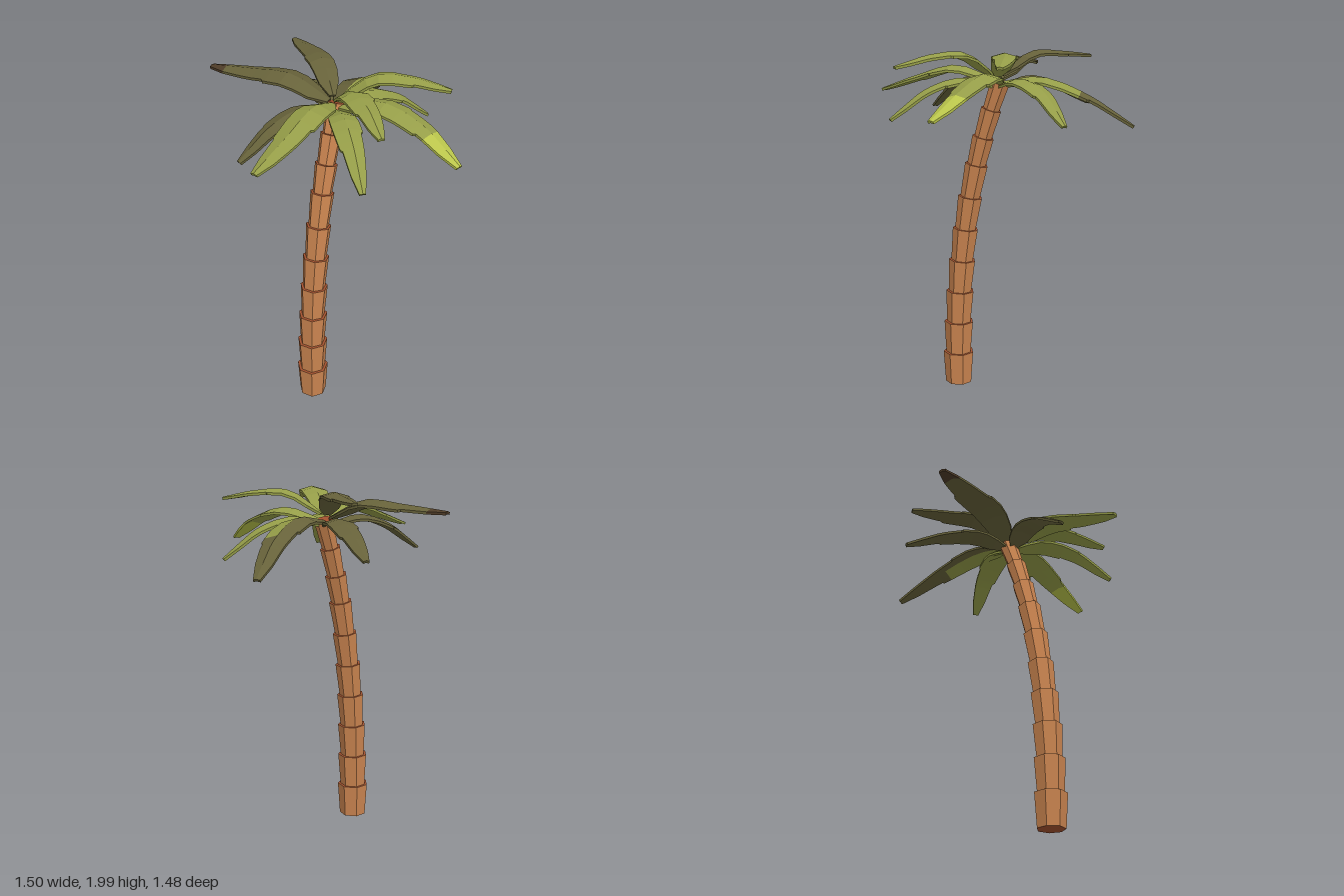
import * as THREE from 'three';

const UP = new THREE.Vector3(0, 1, 0);
const THICK = 0.014, FOLD = 0.28, STEPS = 8;

const mat = (name, color) => Object.assign(new THREE.MeshStandardMaterial({ color, flatShading: true }), { name });

// Half width of a blade: swells, tapers to a blunt tip, and steps in after a torn notch
function halfWidth(t, notch) {
  const swell = 0.022 + 0.066 * Math.pow(Math.sin(Math.PI * Math.pow(t, 0.8)), 0.65);
  return t > notch ? swell * 0.86 : swell;
}

// Midrib: leaves the crown, arches over two inner heights and bows sideways to the tip
function midrib([tipX, tipZ, tipY], [startY, innerY, outerY], bow) {
  const out = new THREE.Vector3(tipX, 0, tipZ);
  const side = new THREE.Vector3().crossVectors(UP, out).normalize();
  const at = (t, y, b) => out.clone().multiplyScalar(t).addScaledVector(side, b).setY(y);
  return new THREE.CatmullRomCurve3([at(0.04, startY, 0), at(0.33, innerY, bow), at(0.66, outerY, bow), at(1, tipY, 0)]);
}

// Folded, solid leaf blade swept along a curve; pick(t, side) gives the material index
function frondGeometry(curve, width, pick) {
  const stations = [0.52, 0.68];
  for (let i = 0; i <= STEPS; i++) stations.push(i / STEPS);
  for (const notch of [0.52, 0.68]) stations.push(notch + 0.015);
  stations.sort((a, b) => a - b);

  const rings = stations.map(t => {
    const mid = curve.getPoint(t), tan = curve.getTangent(t);
    const side = new THREE.Vector3().crossVectors(UP, tan).normalize();
    const n = new THREE.Vector3().crossVectors(tan, side);
    const at = (s, drop) => mid.clone().addScaledVector(side, s).addScaledVector(n, -drop);
    const wl = halfWidth(t, 0.52) * width, wr = halfWidth(t, 0.68) * width;
    return {
      L: at(wl, wl * FOLD), C: at(0, 0), R: at(-wr, wr * FOLD),
      l: at(wl, wl * FOLD + THICK), c: at(0, THICK), r: at(-wr, wr * FOLD + THICK),
    };
  });

  const pos = [], geo = new THREE.BufferGeometry();
  const quad = (m, a, b, c, d) => {
    geo.addGroup(pos.length / 3, 6, m);
    for (const v of [a, b, c, a, c, d]) pos.push(v.x, v.y, v.z);
  };
  for (let i = 0; i < rings.length - 1; i++) {
    const a = rings[i], b = rings[i + 1];
    const left = pick(stations[i], 1), right = pick(stations[i], -1);
    quad(left, a.C, b.C, b.L, a.L);
    quad(left, a.c, a.l, b.l, b.c);
    quad(left, a.L, b.L, b.l, a.l);
    quad(right, a.R, b.R, b.C, a.C);
    quad(right, a.r, a.c, b.c, b.r);
    quad(right, a.r, b.r, b.R, a.R);
  }
  // End caps
  const s = rings[0], e = rings[rings.length - 1];
  quad(pick(0, -1), s.R, s.C, s.c, s.r);
  quad(pick(0, 1), s.C, s.L, s.l, s.c);
  quad(pick(1, -1), e.r, e.c, e.C, e.R);
  quad(pick(1, 1), e.c, e.l, e.L, e.C);
  geo.setAttribute('position', new THREE.Float32BufferAttribute(pos, 3));
  geo.computeVertexNormals();
  return geo;
}

// Stacked, flared seven-sided segments along a leaning, curving line
function buildTrunk(bark, ledge) {
  const trunk = new THREE.Group();
  trunk.name = 'trunk';
  const joint = i => {
    const y = 0.192 * i - 0.033 * Math.max(0, i - 7);
    return new THREE.Vector3(0, y, 0.257 - 0.0594 * Math.pow(y, 2.57));
  };
  for (let i = 0; i < 10; i++) {
    const a = joint(i), b = joint(i + 1), dir = b.clone().sub(a);
    const rTop = 0.092 - 0.0041 * i;
    const geo = new THREE.CylinderGeometry(rTop, rTop * 0.86, dir.length(), 7, 1, false, 1.41);
    const segment = new THREE.Mesh(geo, [bark, ledge, ledge]);
    segment.name = 'trunkSegment' + (i + 1);
    segment.position.lerpVectors(a, b, 0.5);
    segment.quaternion.setFromUnitVectors(UP, dir.normalize());
    trunk.add(segment);
  }
  return trunk;
}

export function createModel() {
  const model = new THREE.Group();
  model.name = 'palmTree';
  model.add(buildTrunk(mat('bark', 0xcb8550), mat('barkLedge', 0xa4522f)));

  // Crown of fronds
  const leaves = [
    mat('leafGreen', 0x959d48), mat('leafOlive', 0x67623a),
    mat('leafBrown', 0x4e3c28), mat('leafYellow', 0xb9c44b),
  ];
  const green = () => 0, olive = () => 1;
  const yellowTip = t => (t > 0.7 ? 3 : 0);
  const brownTip = t => (t > 0.8 ? 2 : 1);
  const oliveHalf = (t, side) => (side > 0 || t > 0.6 ? 1 : 0);
  const crown = new THREE.Group();
  crown.name = 'crown';
  const addFrond = (name, tip, heights, bow, width, pick) => {
    const frond = new THREE.Mesh(frondGeometry(midrib(tip, heights, bow), width, pick), leaves);
    frond.name = name;
    crown.add(frond);
  };
  const upper = [1.86, 1.98, 1.977], lower = [1.8, 1.845, 1.79];
  addFrond('rightFrond', [0.75, 0.03, 1.68], [1.82, 1.88, 1.82], 0.05, 1, yellowTip);
  addFrond('leftFrond', [-0.75, 0.075, 1.9], [1.84, 1.94, 1.925], 0, 1.1, brownTip);
  addFrond('frontFrond', [0, 0.735, 1.76], [1.84, 1.905, 1.845], 0.02, 1, green);
  addFrond('backFrond', [-0.18, -0.74, 1.59], [1.82, 1.85, 1.76], -0.04, 1, oliveHalf);
  addFrond('upperBackRightFrond', [0.55, -0.255, 1.935], upper, 0.03, 0.8, green);
  addFrond('upperBackLeftFrond', [-0.5, -0.37, 1.955], upper, -0.015, 0.8, olive);
  addFrond('upperFrontRightFrond', [0.49, 0.375, 1.92], upper, 0.016, 0.85, green);
  addFrond('lowerBackRightFrond', [0.3, -0.51, 1.63], lower, 0.015, 0.85, green);
  addFrond('lowerBackLeftFrond', [-0.56, -0.35, 1.675], lower, 0, 0.85, olive);
  addFrond('lowerFrontRightFrond', [0.435, 0.445, 1.635], lower, 0, 0.85, green);
  addFrond('lowerFrontLeftFrond', [-0.25, 0.53, 1.65], lower, -0.01, 0.85, olive);
  model.add(crown);
  return model;
}
